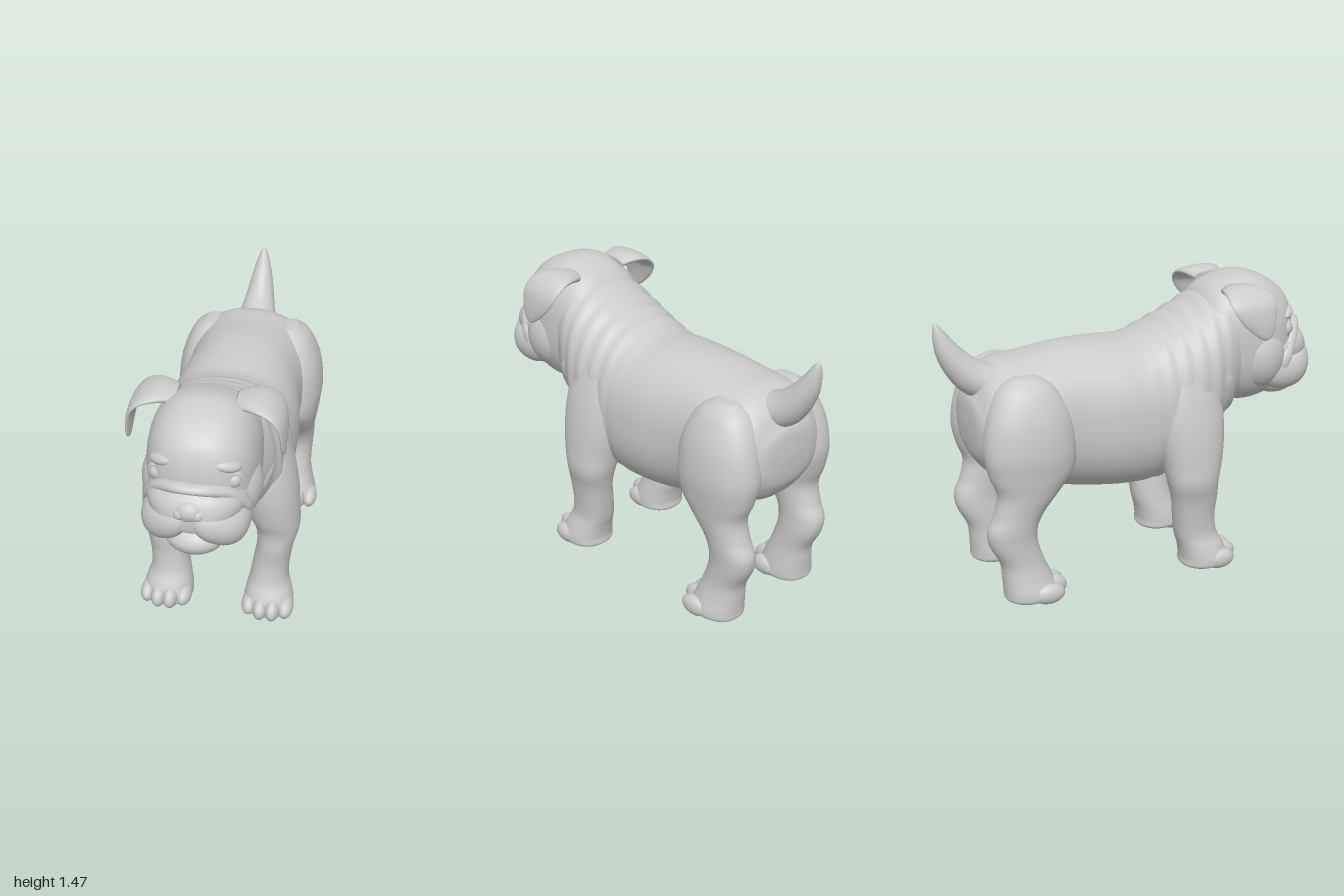
import * as THREE from 'three';

const X = new THREE.Vector3(1, 0, 0), Y = new THREE.Vector3(0, 1, 0), Z = new THREE.Vector3(0, 0, 1);
const material = new THREE.MeshStandardMaterial({ color: 0xcccccc });

// Smooth value between rows k and k+1 (Catmull-Rom on every column)
function sampleRow(rows, t) {
  const last = rows.length - 1, k = Math.min(Math.floor(t), last - 1), f = t - k;
  const at = i => rows[Math.max(0, Math.min(last, i))];
  return rows[k].map((_, j) => {
    const a = at(k - 1)[j], b = at(k)[j], c = at(k + 1)[j], d = at(k + 2)[j];
    return b + 0.5 * f * (c - a + f * (2 * a - 5 * b + 4 * c - d + f * (3 * (b - c) + d - a)));
  });
}

// Skin over cross-sections [x, y, z, radiusU, radiusV]; without v the rings follow the path
function loft(rows, { u, v = null, power = 2, steps = 7, sides = 40, swell = () => 1 }) {
  const n = (rows.length - 1) * steps, pos = [], index = [];
  const point = t => new THREE.Vector3(...sampleRow(rows, t).slice(0, 3));
  const bend = w => Math.sign(w) * Math.abs(w) ** (2 / power);
  for (let i = 0; i <= n; i++) {
    const t = i / steps, c = point(t), r = sampleRow(rows, t);
    const along = point(Math.min(t + 0.05, rows.length - 1)).sub(point(Math.max(t - 0.05, 0)));
    const side = v || along.cross(u).normalize();
    const k = swell(c);
    for (let j = 0; j < sides; j++) {
      const a = j / sides * Math.PI * 2;
      const p = c.clone()
        .addScaledVector(u, bend(Math.cos(a)) * Math.max(r[3], 0.001) * k)
        .addScaledVector(side, bend(Math.sin(a)) * Math.max(r[4], 0.001) * k);
      pos.push(p.x, p.y, p.z);
      if (i < n) {
        const q = i * sides + j, w = i * sides + (j + 1) % sides;
        index.push(q, w, q + sides, w, w + sides, q + sides);
      }
    }
  }
  // End caps
  for (const end of [0, n]) {
    const c = point(end / steps), m = pos.length / 3;
    pos.push(c.x, c.y, c.z);
    for (let j = 0; j < sides; j++) {
      const q = end * sides + j, w = end * sides + (j + 1) % sides;
      if (end) index.push(q, w, m); else index.push(w, q, m);
    }
  }
  const g = new THREE.BufferGeometry();
  g.setAttribute('position', new THREE.Float32BufferAttribute(pos, 3));
  g.setIndex(index);
  g.computeVertexNormals();
  return g;
}

// [z, top, bottom, halfWidth] -> rings facing along z
const alongZ = rows => rows.map(([z, t, b, w]) => [0, (t + b) / 2, z, w, (t - b) / 2]);
// [y, outer, inner, front, back] -> level rings, listed from top to bottom
const alongY = (rows, s) => rows.map(([y, o, i, f, b]) => [s * (o + i) / 2, y, (f + b) / 2, (o - i) / 2, (f - b) / 2]);
const mirrorX = (rows, s) => rows.map(([x, ...rest]) => [s * x, ...rest]);
// Half an arch, ending at x = 0, completed on the other side
const arch = rows => [...rows, ...mirrorX(rows.slice(0, -1), -1).reverse()];

export function createModel() {
  const model = new THREE.Group();
  const add = (name, geometry, parent = model) => {
    const m = new THREE.Mesh(geometry, material);
    m.name = name;
    parent.add(m);
    return m;
  };
  const ball = (name, p, r, parent = model) => {
    const m = add(name, new THREE.SphereGeometry(1, 28, 18), parent);
    m.position.set(...p);
    m.scale.set(...r);
    return m;
  };
  const group = name => {
    const g = new THREE.Group();
    g.name = name;
    model.add(g);
    return g;
  };

  // Torso and neck, with loose skin rippling behind the head
  const ripple = ({ z }) => 1 + 0.011 * Math.sin(z * 74)
    * THREE.MathUtils.smoothstep(z, -0.02, 0.15) * (1 - THREE.MathUtils.smoothstep(z, 0.42, 0.5));
  add('torso', loft(alongZ([
    [-0.855, 0.89, 0.86, 0.02], [-0.845, 0.99, 0.75, 0.15], [-0.82, 1.04, 0.69, 0.22], [-0.77, 1.12, 0.63, 0.27],
    [-0.68, 1.175, 0.59, 0.3], [-0.55, 1.19, 0.54, 0.31], [-0.35, 1.215, 0.49, 0.305], [-0.15, 1.215, 0.458, 0.33],
    [0, 1.21, 0.45, 0.335], [0.12, 1.25, 0.46, 0.33], [0.24, 1.3, 0.5, 0.33], [0.34, 1.35, 0.57, 0.32],
    [0.42, 1.39, 0.68, 0.295], [0.5, 1.4, 0.77, 0.26], [0.58, 1.33, 0.84, 0.19], [0.62, 1.1, 1.05, 0.02],
  ]), { u: X, v: Y, power: 2.3, steps: 9, sides: 56, swell: ripple }));

  add('throatFold', loft(arch([
    [0.27, 1.08, 0.4, 0.01, 0.01], [0.26, 0.98, 0.42, 0.05, 0.035], [0.18, 0.84, 0.45, 0.05, 0.04], [0, 0.775, 0.475, 0.05, 0.04],
  ]), { u: Z }));

  add('tail', loft([
    [0, 1.05, -0.69, 0.115, 0.09], [0, 1.1, -0.8, 0.092, 0.088], [0, 1.165, -0.87, 0.073, 0.075], [0, 1.245, -0.925, 0.054, 0.058],
    [0, 1.32, -0.958, 0.034, 0.036], [0, 1.37, -0.974, 0.015, 0.016], [0, 1.39, -0.978, 0, 0],
  ], { u: X }));

  // Legs and paws
  const frontRows = [
    [1.15, 0.25, 0.2, 0.27, 0.17], [1.06, 0.305, 0.1, 0.34, 0.1], [0.9, 0.355, 0.1, 0.4, 0.05], [0.75, 0.385, 0.1, 0.41, 0.05],
    [0.6, 0.398, 0.14, 0.39, 0.08], [0.5, 0.4, 0.18, 0.365, 0.1], [0.4, 0.375, 0.19, 0.365, 0.125], [0.3, 0.36, 0.175, 0.36, 0.14],
    [0.2, 0.355, 0.16, 0.375, 0.155], [0.13, 0.375, 0.145, 0.41, 0.175], [0.07, 0.39, 0.135, 0.435, 0.185],
    [0.03, 0.385, 0.14, 0.435, 0.185], [0.012, 0.34, 0.19, 0.38, 0.22],
  ];
  const hindRows = [
    [1.14, 0.24, 0.16, -0.56, -0.68], [1.08, 0.31, 0.1, -0.47, -0.76], [0.95, 0.365, 0.1, -0.41, -0.82], [0.8, 0.385, 0.1, -0.39, -0.845],
    [0.68, 0.375, 0.13, -0.405, -0.825], [0.58, 0.36, 0.155, -0.48, -0.79], [0.48, 0.345, 0.165, -0.56, -0.81],
    [0.4, 0.34, 0.165, -0.595, -0.845], [0.32, 0.335, 0.16, -0.595, -0.835], [0.22, 0.335, 0.155, -0.565, -0.785],
    [0.14, 0.35, 0.145, -0.53, -0.775], [0.07, 0.37, 0.135, -0.5, -0.77], [0.03, 0.365, 0.14, -0.5, -0.765], [0.012, 0.32, 0.18, -0.55, -0.72],
  ];
  for (const s of [1, -1]) {
    const side = s > 0 ? 'left' : 'right';
    for (const [kind, rows, x, front] of [['Front', frontRows, 0.265, 0.475], ['Hind', hindRows, 0.255, -0.46]]) {
      const leg = group(side + kind + 'Leg');
      add('leg', loft(alongY(rows, s), { u: X, v: Z, power: 2.2 }), leg);
      for (const k of [-1.5, -0.5, 0.5, 1.5]) {
        const outer = Math.abs(k) > 1;
        ball('toe', [s * x + k * 0.062, outer ? 0.06 : 0.068, front - (outer ? 0.115 : 0.08)], [0.04, outer ? 0.052 : 0.06, 0.08], leg);
      }
      ball('pad', [s * x, 0.022, front - 0.18], [0.07, 0.022, 0.06], leg);
    }
  }

  // Head
  const head = group('head');
  add('skull', loft(alongZ([
    [0.3, 1.2, 1.0, 0.1], [0.36, 1.33, 0.9, 0.2], [0.42, 1.41, 0.85, 0.24], [0.5, 1.45, 0.82, 0.255], [0.6, 1.472, 0.8, 0.26], [0.7, 1.455, 0.81, 0.25],
    [0.78, 1.415, 0.85, 0.222], [0.84, 1.365, 0.91, 0.175], [0.875, 1.3, 0.96, 0.12], [0.893, 1.22, 1.02, 0.06], [0.898, 1.13, 1.11, 0.005],
  ]), { u: X, v: Y, power: 2.5, sides: 48 }), head);
  add('muzzle', loft(alongZ([
    [0.6, 1.12, 0.95, 0.22], [0.72, 1.17, 0.95, 0.235], [0.82, 1.19, 0.96, 0.225], [0.9, 1.18, 0.965, 0.19],
    [0.95, 1.15, 0.975, 0.14], [0.978, 1.1, 0.99, 0.08], [0.985, 1.05, 1.03, 0.01],
  ]), { u: X, v: Y, power: 2.2 }), head);
  ball('chin', [0, 0.875, 0.83], [0.14, 0.082, 0.125], head);
  ball('nose', [0, 1.092, 0.95], [0.062, 0.052, 0.048], head);
  add('noseFold', loft(arch([
    [0.235, 0.98, 0.77, 0.01, 0.01], [0.225, 1.05, 0.79, 0.035, 0.022], [0.165, 1.14, 0.85, 0.035, 0.026],
    [0.08, 1.182, 0.905, 0.035, 0.026], [0, 1.19, 0.918, 0.035, 0.024],
  ]), { u: Z }), head);

  for (const s of [1, -1]) {
    const side = s > 0 ? 'left' : 'right';
    add(side + 'UpperLip', loft(mirrorX([
      [-0.01, 1.045, 0.9, 0.03, 0.03], [0.03, 1.035, 0.905, 0.078, 0.08], [0.09, 1.0, 0.9, 0.1, 0.088], [0.155, 0.97, 0.855, 0.102, 0.085],
      [0.18, 0.965, 0.77, 0.095, 0.07], [0.175, 0.98, 0.68, 0.075, 0.06], [0.16, 1.0, 0.61, 0.02, 0.02],
    ], s), { u: Y }), head);
    ball(side + 'Nostril', [s * 0.04, 1.082, 0.962], [0.03, 0.03, 0.03], head);
    ball(side + 'Cheek', [s * 0.165, 1.06, 0.66], [0.115, 0.17, 0.14], head);
    ball(side + 'Eye', [s * 0.17, 1.187, 0.812], [0.038, 0.038, 0.038], head);
    const lid = add(side + 'Eyelid', new THREE.TorusGeometry(0.041, 0.012, 12, 32), head);
    lid.position.set(s * 0.172, 1.187, 0.822);
    lid.rotation.y = s * 0.5;
    lid.scale.y = 0.9;
    const brow = ball(side + 'Brow', [s * 0.14, 1.265, 0.815], [0.075, 0.032, 0.045], head);
    brow.rotation.set(0, s * 0.45, -s * 0.25);
    // Folded ear, arching outward and hanging to a point
    add(side + 'Ear', loft(mirrorX([
      [0.14, 1.41, 0.52, 0.07, 0.03], [0.22, 1.425, 0.525, 0.105, 0.03], [0.29, 1.41, 0.53, 0.12, 0.022], [0.335, 1.365, 0.535, 0.118, 0.018],
      [0.352, 1.3, 0.55, 0.095, 0.016], [0.357, 1.24, 0.575, 0.058, 0.013], [0.357, 1.208, 0.588, 0.025, 0.009], [0.357, 1.197, 0.592, 0, 0],
    ], s), { u: Z }), head);
  }
  return model;
}
